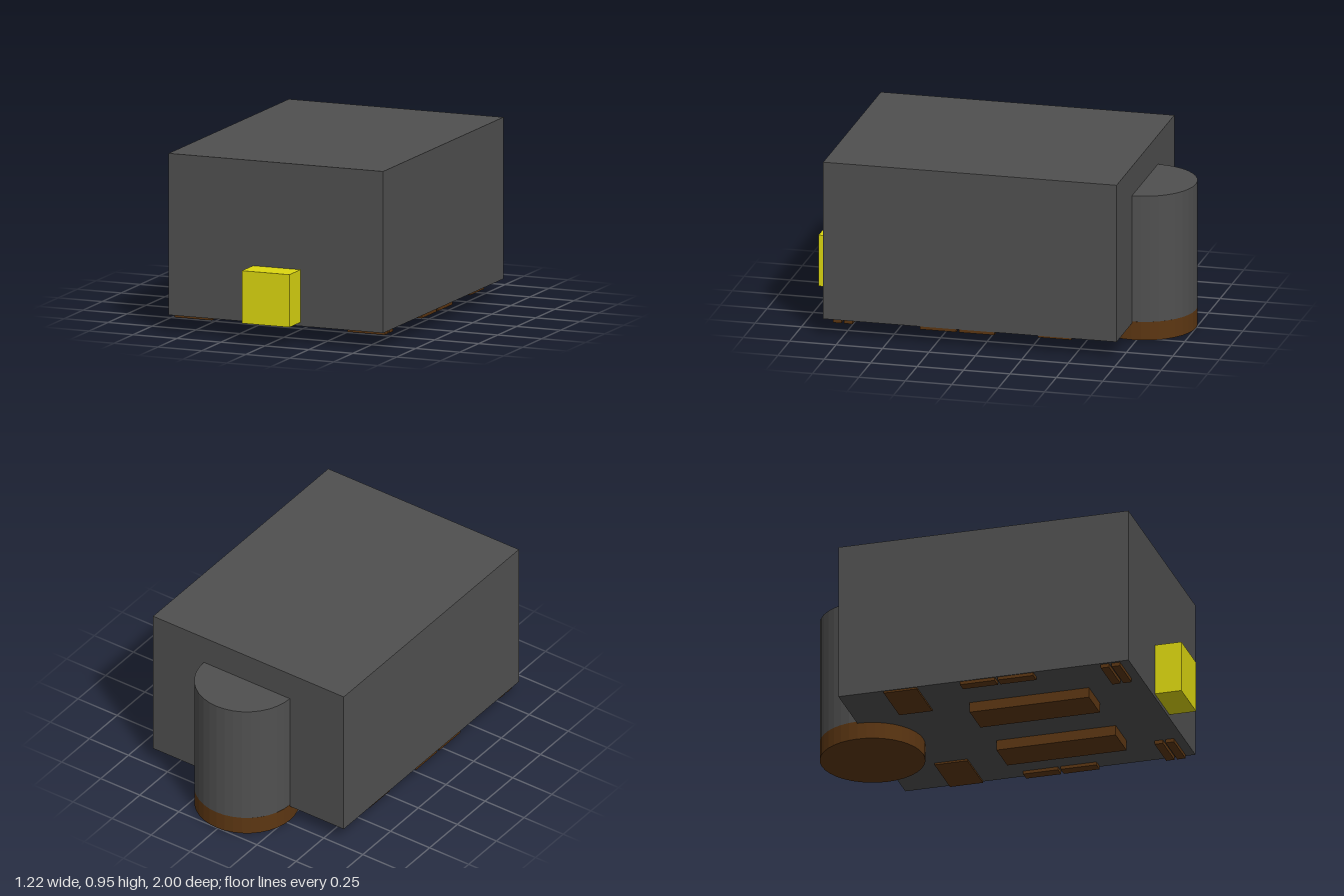
import * as THREE from 'three';

export function createModel() {
  const root = new THREE.Group();
  const paint = (color) => new THREE.MeshStandardMaterial({ color, flatShading: true });
  const grey = paint(0x505050), brown = paint(0x5c3612), yellow = paint(0xdcd710);

  function add(name, geometry, material, x, y, z) {
    const mesh = new THREE.Mesh(geometry, material);
    mesh.name = name;
    mesh.position.set(x, y, z);
    root.add(mesh);
  }
  // Box given by its minimum and maximum on each axis
  function box(name, material, [x0, x1], [y0, y1], [z0, z1]) {
    add(name, new THREE.BoxGeometry(x1 - x0, y1 - y0, z1 - z0), material,
      (x0 + x1) / 2, (y0 + y1) / 2, (z0 + z1) / 2);
  }

  // Main block and front lug
  box('body', grey, [-0.61, 0.61], [0.09, 0.95], [-0.725, 0.855]);
  box('frontLug', yellow, [-0.13, 0.14], [0.11, 0.39], [0.8, 1]);

  // Rear column, half sunk into the body, on a round foot
  add('rearColumn', new THREE.CylinderGeometry(0.275, 0.275, 0.69, 36), grey, 0.01, 0.445, -0.725);
  add('rearFoot', new THREE.CylinderGeometry(0.276, 0.276, 0.1, 36), brown, 0.01, 0.05, -0.724);

  // Pads under the body: [name, inner x, outer x, bottom y, z range]
  const pads = [
    ['rail', 0.145, 0.343, 0.035, [-0.09, 0.56]],
    ['rearPad', 0.32, 0.605, 0.08, [-0.48, -0.3]],
    ['sideStripRear', 0.547, 0.605, 0.073, [-0.065, 0.125]],
    ['sideStripFront', 0.547, 0.605, 0.073, [0.14, 0.335]],
    ['frontStripRear', 0.385, 0.598, 0.07, [0.7, 0.745]],
    ['frontStripFront', 0.385, 0.598, 0.07, [0.76, 0.805]],
  ];
  for (const [name, inner, outer, bottom, z] of pads) {
    box(name + 'Left', brown, [inner, outer], [bottom, 0.1], z);
    box(name + 'Right', brown, [-outer, -inner], [bottom, 0.1], z);
  }
  return root;
}
